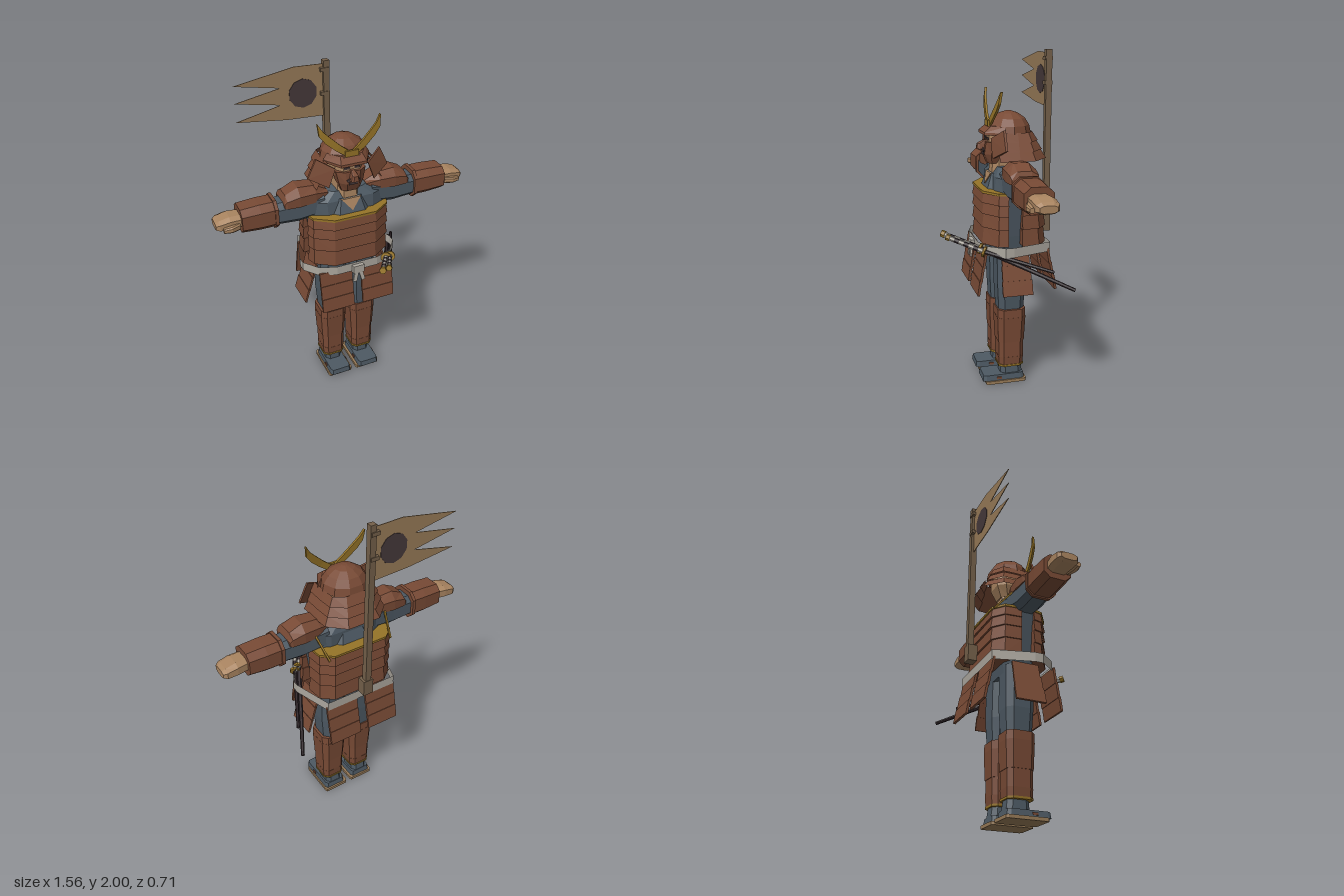
import * as THREE from 'three';

const mat = (name, color, side = THREE.FrontSide) => {
  const m = new THREE.MeshStandardMaterial({ color, side });
  m.name = name;
  return m;
};

export function createModel() {
  const group = new THREE.Group();
  const brown = mat('lacquered brown', 0x784a35, THREE.DoubleSide);
  const slate = mat('slate cloth', 0x4d5963);
  const skin = mat('skin tan', 0xa98460);
  const gold = mat('gold trim', 0x967428);
  const white = mat('sash white', 0xaca79e, THREE.DoubleSide);
  const wood = mat('pole wood', 0x74604a);
  const banner = mat('banner cloth', 0x987b58);
  const dark = mat('dark emblem', 0x46393a);
  const black = mat('scabbard black', 0x32272b);

  const V = (p) => new THREE.Vector3(...p);
  const flip = (p, s) => [p[0] * s, p[1], p[2]];

  // Adds a faceted mesh
  function add(name, geo, material) {
    const flat = geo.index ? geo.toNonIndexed() : geo;
    flat.computeVertexNormals();
    const mesh = new THREE.Mesh(flat, material);
    mesh.name = name;
    group.add(mesh);
    return mesh;
  }

  // Joins rings of points; closed rings get caps and are turned outward
  function loft(name, material, rings, { open = false, caps = true, s = 1 } = {}) {
    const n = rings[0].length, tris = [];
    for (let r = 0; r + 1 < rings.length; r++) {
      for (let i = 0; i < (open ? n - 1 : n); i++) {
        const j = (i + 1) % n, A = rings[r], B = rings[r + 1];
        tris.push([A[i], B[i], B[j]], [A[i], B[j], A[j]]);
      }
    }
    if (caps && !open) {
      const A = rings[0], B = rings[rings.length - 1];
      for (let i = 1; i + 1 < n; i++) tris.push([A[0], A[i], A[i + 1]], [B[0], B[i + 1], B[i]]);
    }
    let volume = 0;
    const c = V(flip(rings[0][0], s));
    const vs = tris.map((t) => t.map((p) => V(flip(p, s))));
    for (const [a, b, d] of vs) volume += a.clone().sub(c).dot(b.clone().sub(c).cross(d.clone().sub(c)));
    const pos = vs.flatMap((t) => (volume < 0 ? [t[0], t[2], t[1]] : t)).flatMap((v) => [v.x, v.y, v.z]);
    const geo = new THREE.BufferGeometry();
    geo.setAttribute('position', new THREE.Float32BufferAttribute(pos, 3));
    return add(name, geo, material);
  }

  // Chamfered rectangles lying across y or across x
  const chamfer = (a0, a1, b0, b1, c) => {
    const p = (a1 - a0) / 2 * c, q = (b1 - b0) / 2 * c;
    return [[a0 + p, b0], [a1 - p, b0], [a1, b0 + q], [a1, b1 - q], [a1 - p, b1], [a0 + p, b1], [a0, b1 - q], [a0, b0 + q]];
  };
  const ringY = (y, x0, x1, z0, z1, c = 0.4) => chamfer(x0, x1, z0, z1, c).map(([x, z]) => [x, y, z]);
  const ringX = (x, y0, y1, z0, z1, c = 0.45) => chamfer(y0, y1, z0, z1, c).map(([y, z]) => [x, y, z]);

  function box(name, material, w, h, d, x, y, z) {
    return add(name, new THREE.BoxGeometry(w, h, d).translate(x, y, z), material);
  }
  // Box or rod running from a to b
  function span(name, material, geo, a, b) {
    const m = add(name, geo, material), d = V(b).sub(V(a));
    m.quaternion.setFromUnitVectors(new THREE.Vector3(0, 1, 0), d.clone().normalize());
    m.position.copy(V(a)).addScaledVector(d, 0.5);
    return m;
  }
  const dist = (a, b) => V(a).distanceTo(V(b));
  const bar = (name, material, a, b, w, d) => span(name, material, new THREE.BoxGeometry(w, dist(a, b), d), a, b);
  const rod = (name, material, a, b, r0, r1 = r0, n = 6) =>
    span(name, material, new THREE.CylinderGeometry(r1, r0, dist(a, b), n), a, b);
  const mix = (a, b, t) => a.map((v, i) => v + (b[i] - v) * t);

  // Torso cloth, hips and collar
  loft('torso', slate, [ringY(0.84, -0.18, 0.18, -0.15, 0.03), ringY(0.95, -0.2, 0.2, -0.16, 0.03),
    ringY(1.2, -0.235, 0.235, -0.17, 0.04), ringY(1.29, -0.24, 0.24, -0.17, 0.03), ringY(1.34, -0.14, 0.14, -0.15, 0)]);
  loft('collar', slate, [ringY(1.2, -0.14, 0.14, -0.2, 0.07), ringY(1.3, -0.1, 0.1, -0.16, 0.035)]);
  loft('neck', skin, [ringY(1.28, -0.07, 0.07, -0.14, 0.03), ringY(1.42, -0.06, 0.06, -0.13, 0.02)]);
  loft('openNeckline', skin, [[[-0.06, 1.3, 0.043], [0, 1.23, 0.066], [0.06, 1.3, 0.043]],
    [[-0.06, 1.3, 0.03], [0, 1.23, 0.05], [0.06, 1.3, 0.03]]]);

  // Cuirass: overlapping tiers, front and back halves open at the sides
  const frontEdge = [[0.25, -0.02], [0.235, 0.035], [0.13, 0.105], [-0.13, 0.105], [-0.235, 0.035], [-0.25, -0.02]];
  const backEdge = [[0.25, -0.1], [0.24, -0.2], [0.17, -0.255], [-0.17, -0.255], [-0.24, -0.2], [-0.25, -0.1]];
  const levels = [0.9, 1.0, 1.08, 1.145, 1.2];
  for (const [name, edge] of [['frontCuirass', frontEdge], ['backCuirass', backEdge]]) {
    const ring = (y, k) => edge.map(([x, z]) => [x * k, y, -0.07 + (z + 0.07) * (1 + (k - 1) * 2)]);
    for (let i = 0; i < 4; i++) loft(name + 'Tier', brown, [ring(levels[i], 1.015), ring(levels[i + 1], 0.985)]);
    loft(name + 'Trim', gold, [ring(1.2, 1.005), ring(1.214, 1.005)]);
  }

  // Sash and knot
  const sash = [[-0.23, -0.275], [0.23, -0.275], [0.3, -0.04], [0.3, 0.01], [0.23, 0.1], [0.13, 0.135],
    [-0.13, 0.135], [-0.23, 0.1], [-0.3, 0.01], [-0.3, -0.04]];
  loft('sash', white, [0.852, 0.91].map((y) => sash.map(([x, z]) => [x, y, z])), { caps: false });
  box('sashKnot', white, 0.07, 0.05, 0.03, 0, 0.87, 0.143);

  for (const s of [1, -1]) {
    const at = (x, y, z) => [x * s, y, z];
    bar('sashEnd', white, at(0.028, 0.79, 0.158), at(0.01, 0.86, 0.15), 0.024, 0.012);

    // Hanging skirt plates, three rows each
    for (let i = 0; i < 3; i++) {
      const t0 = i / 3, t1 = (i + 1.08) / 3, k = 0.004 * i;
      const row = (name, top, low, w, d) => bar(name, brown, mix(top, low, Math.min(t1, 1)), mix(top, low, t0), w, d);
      row('frontSkirtPlate', at(0.132, 0.87, 0.11 + k), at(0.132, 0.612, 0.148 + k), 0.207, 0.014);
      row('backSkirtPlate', at(0.132, 0.87, -0.26 - k), at(0.132, 0.615, -0.305 - k), 0.207, 0.014);
      row('sideSkirtPlate', at(0.215 + k, 0.87, -0.065), at(0.287 + k, 0.615, -0.065), 0.012, 0.165 + 2 * k);
    }

    // Legs, greaves and feet
    loft('trouserLeg', slate, [ringY(0.44, 0.03, 0.165, -0.14, 0.01), ringY(0.62, 0.014, 0.18, -0.15, 0.02),
      ringY(0.88, 0.008, 0.18, -0.15, 0.025)], { s });
    const greave = [0.12, 0.17, 0.27, 0.43, 0.482];
    const shin = (y, g = 0) => {
      const t = (y - 0.11) / 0.37;
      return ringY(y, 0.034 - 0.018 * t - g, 0.17 + 0.016 * t + g, -0.137 - 0.015 * t - g, 0.01 + 0.012 * t + g, 0.35);
    };
    for (let i = 0; i < 4; i++) loft('greaveBand', brown, [shin(greave[i], 0.001), shin(greave[i + 1], i % 2 ? -0.002 : 0.002)], { s });
    loft('greaveTrim', gold, [shin(0.107, 0.004), shin(0.12, 0.004)], { s });
    loft('ankle', slate, [ringY(0.04, 0.045, 0.155, -0.14, 0), ringY(0.11, 0.05, 0.15, -0.13, -0.005)], { s });
    loft('foot', slate, [ringY(0.02, 0.03, 0.17, -0.145, 0.115, 0.15), ringY(0.055, 0.035, 0.165, -0.14, 0.11, 0.15)], { s });
    loft('sandalSole', banner, [ringY(0, 0.015, 0.178, -0.155, 0.097, 0.1), ringY(0.02, 0.015, 0.178, -0.155, 0.097, 0.1)], { s });
    box('sandalStrap', brown, 0.146, 0.014, 0.03, 0.1 * s, 0.036, 0.015);

    // Arms, bracers and hands
    loft('sleeve', slate, [ringX(0.15, 1.2, 1.35, -0.16, 0.01), ringX(0.3, 1.18, 1.33, -0.15, 0.005),
      ringX(0.46, 1.19, 1.32, -0.145, 0)], { s });
    loft('bracer', brown, [ringX(0.43, 1.182, 1.342, -0.158, 0.01), ringX(0.53, 1.182, 1.342, -0.16, 0.012),
      ringX(0.64, 1.19, 1.335, -0.155, 0.01)], { s });
    loft('bracerCuff', brown, [ringX(0.43, 1.174, 1.35, -0.165, 0.017), ringX(0.45, 1.174, 1.35, -0.165, 0.017)], { s });
    loft('hand', skin, [ringX(0.62, 1.225, 1.3, -0.13, -0.01), ringX(0.7, 1.222, 1.3, -0.142, -0.01),
      ringX(0.76, 1.222, 1.285, -0.14, -0.015), ringX(0.78, 1.23, 1.27, -0.125, -0.03)], { s });
    loft('thumb', skin, [ringX(0.65, 1.225, 1.265, -0.03, 0.0), ringX(0.7, 1.225, 1.262, -0.02, 0.018),
      ringX(0.745, 1.228, 1.255, -0.015, 0.01)], { s });

    // Shoulder guard draped over the sleeve
    const pad = (x, low, top, w) => [[-w, low], [-w, (low + top) / 2 + 0.01], [-w * 0.5, top], [w * 0.5, top], [w, (low + top) / 2 + 0.01], [w, low]]
      .map(([z, y]) => [x, y, -0.072 + z]);
    loft('shoulderGuard', brown, [pad(0.12, 1.31, 1.345, 0.06), pad(0.2, 1.3, 1.39, 0.08), pad(0.3, 1.295, 1.4, 0.088),
      pad(0.375, 1.295, 1.365, 0.082), pad(0.39, 1.3, 1.325, 0.075)], { s });
    bar('shoulderCord', gold, at(0.205, 1.19, -0.255), at(0.235, 1.32, -0.14), 0.01, 0.01);

    // Helmet side flap and horn
    const flap = [[0.1, 1.51], [0.195, 1.565], [0.247, 1.455], [0.14, 1.4]];
    loft('helmetFlap', brown, [flap.map(([x, y], i) => [x, y, i % 3 ? 0.0 : 0.05]),
      flap.map(([x, y], i) => [x, y, i % 3 ? -0.014 : 0.036])], { s });
    const horn = [[0.02, 1.585, 0.022], [0.08, 1.63, 0.018], [0.135, 1.68, 0.01], [0.17, 1.72, 0.004], [0.187, 1.775, -0.006]];
    loft('helmetHorn', gold, horn.map(([x, y, z], i) => {
      const w = [0.018, 0.02, 0.021, 0.017, 0.002][i];
      return [[x - w * 0.7, y + w * 0.7, z + 0.022], [x + w * 0.7, y - w * 0.7, z + 0.022], [x + w * 0.7, y - w * 0.7, z + 0.008], [x - w * 0.7, y + w * 0.7, z + 0.008]];
    }), { s });
    box('eye', dark, 0.034, 0.012, 0.006, 0.032 * s, 1.5, 0.05);
    bar('moustache', dark, at(0.012, 1.448, 0.08), at(0.04, 1.43, 0.075), 0.014, 0.008);
  }

  // Head and face mask
  loft('head', skin, [ringY(1.38, -0.06, 0.06, -0.14, 0.035), ringY(1.45, -0.085, 0.085, -0.17, 0.048), ringY(1.57, -0.085, 0.085, -0.17, 0.048)]);
  loft('faceMask', brown, [ringY(1.355, -0.055, 0.055, -0.02, 0.05, 0.5), ringY(1.41, -0.075, 0.075, -0.06, 0.072, 0.5),
    ringY(1.482, -0.092, 0.092, -0.06, 0.064, 0.5)]);
  loft('maskNose', brown, [ringY(1.438, -0.026, 0.026, 0.05, 0.112), ringY(1.47, -0.018, 0.018, 0.05, 0.108), ringY(1.49, -0.01, 0.01, 0.04, 0.07)]);
  box('maskMouth', dark, 0.054, 0.014, 0.008, 0, 1.412, 0.071);

  // Helmet: faceted bowl, brim, flared neck guard and crest plate
  const bowl = [[1.53, 0.142], [1.575, 0.132], [1.615, 0.104], [1.643, 0.06], [1.656, 0.016]];
  loft('helmetBowl', brown, bowl.map(([y, r]) => Array.from({ length: 10 }, (_, i) => {
    const a = (i + 0.5) * Math.PI / 5;
    return [Math.sin(a) * r, y, -0.08 + Math.cos(a) * r * 0.92];
  })));
  const brim = (y, x, z) => [[-x, y, -0.03], [-x * 0.55, y, z], [x * 0.55, y, z], [x, y, -0.03]];
  loft('helmetBrim', brown, [brim(1.525, 0.142, 0.082), brim(1.54, 0.142, 0.08), brim(1.575, 0.12, 0.04)]);
  const guard = (t, g) => [[1, 0.02], [1, -0.1], [0.97, -0.165 - 0.02 * t], [0.5, -0.205 - 0.07 * t]].map(([k, z]) =>
    [k * (0.135 + 0.06 * t + g), 1.54 - 0.155 * t, z > -0.15 ? z : z - g]);
  for (let i = 0; i < 3; i++) {
    const arc = (t, g) => { const h = guard(t, g); return [...h, ...h.map((p) => flip(p, -1)).reverse()]; };
    loft('neckGuardTier', brown, [arc(i / 3, 0), arc((i + 1) / 3, 0.008)], { open: true });
  }
  box('crestPlate', gold, 0.08, 0.035, 0.014, 0, 1.588, 0.046);

  // Banner pole, socket, ties and three-tailed banner
  box('bannerPole', wood, 0.036, 1.08, 0.036, 0, 1.46, -0.32);
  box('poleSocket', wood, 0.064, 0.1, 0.056, 0, 0.97, -0.312);
  for (const y of [1.95, 1.81]) box('bannerTie', wood, 0.05, 0.022, 0.046, -0.012, y, -0.32);
  const outline = [[-0.015, 1.98], [-0.19, 1.985], [-0.54, 1.925], [-0.275, 1.875], [-0.54, 1.825], [-0.275, 1.775],
    [-0.54, 1.715], [-0.24, 1.68], [-0.015, 1.67]];
  const cloth = new THREE.Shape(outline.map(([x, y]) => new THREE.Vector2(x, y)));
  add('banner', new THREE.ExtrudeGeometry(cloth, { depth: 0.004, bevelEnabled: false }).translate(0, 0, -0.322), banner);
  add('bannerDisc', new THREE.CylinderGeometry(0.086, 0.086, 0.009, 10).rotateX(Math.PI / 2).translate(-0.14, 1.825, -0.32), dark);

  // Two swords thrust through the sash
  const swords = [[[0.065, 0.96, 0.34], [0.19, 0.888, 0.135], [0.455, 0.682, -0.355], 0.015],
    [[0.115, 0.95, 0.32], [0.225, 0.878, 0.12], [0.415, 0.786, -0.24], 0.013]];
  for (const [end, hilt, tip, r] of swords) {
    rod('scabbard', black, tip, hilt, r * 0.7, r);
    rod('swordGuard', gold, mix(hilt, end, -0.03), mix(hilt, end, 0.03), 0.032, 0.032, 8);
    for (let i = 0; i < 7; i++)
      rod('gripWrap', i % 2 ? black : white, mix(hilt, end, 0.03 + i * 0.125), mix(hilt, end, 0.155 + i * 0.125), r * 1.1);
    rod('pommel', gold, mix(hilt, end, 0.9), end, r * 1.4);
  }
  return group;
}
